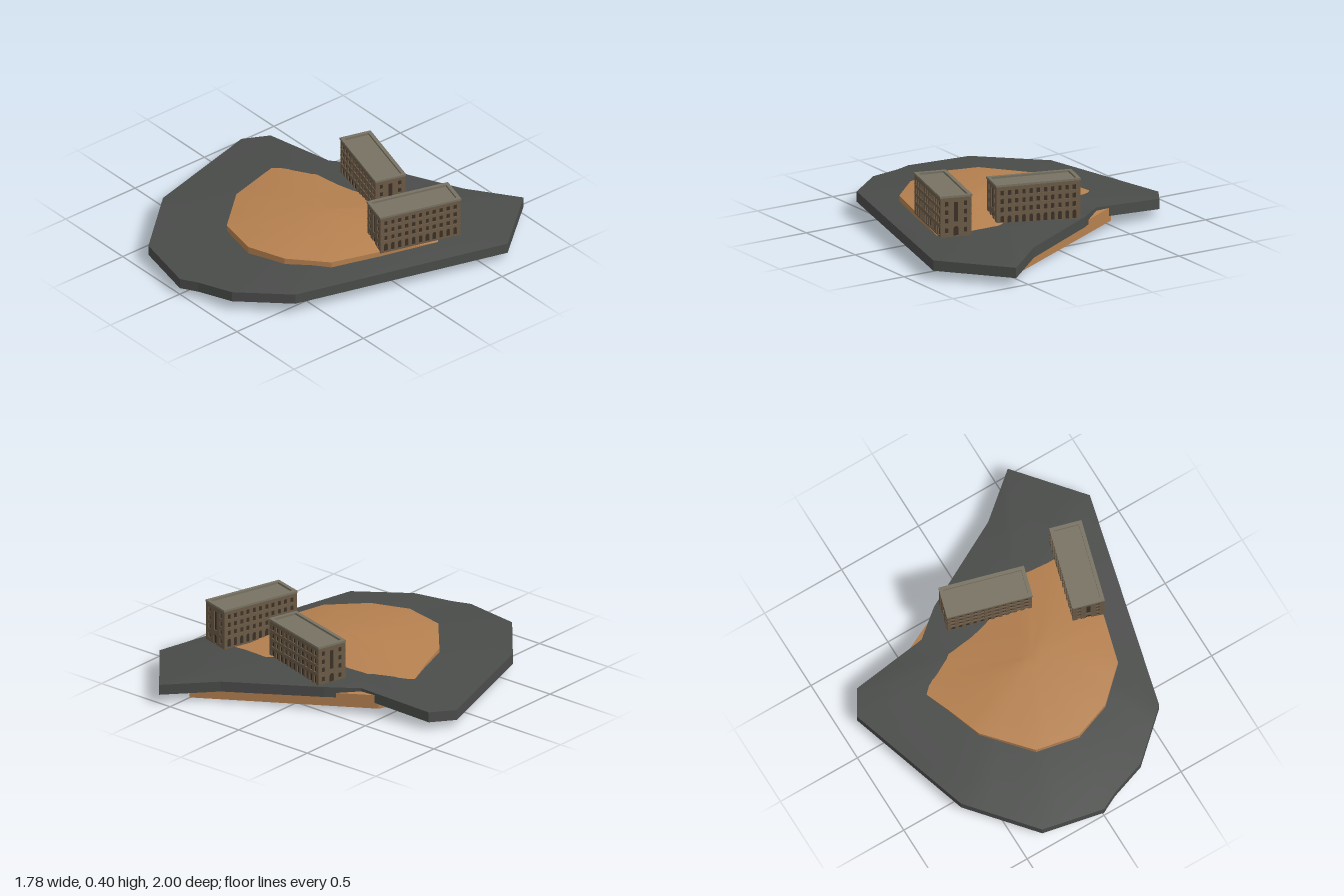
import * as THREE from 'three';

const mat = (color, side = THREE.FrontSide) => new THREE.MeshStandardMaterial({ color, side });

// Domed sheet over an outline of [x, z, rimHeight, falloff], with a vertical skirt around it
function domedSheet(name, outline, [cx, cz, peak], depth, color) {
  const rings = 8, steps = 3, rim = [];
  outline.forEach((a, i) => {
    const b = outline[(i + 1) % outline.length];
    for (let s = 0; s < steps; s++) rim.push(a.map((v, k) => v + (b[k] - v) * s / steps));
  });
  const n = rim.length, top = [cx, peak, cz], idx = [];
  for (let r = 1; r <= rings; r++) {
    const t = r / rings;
    for (const [x, z, y, p] of rim) {
      top.push(cx + (x - cx) * t, peak - (peak - y) * t ** p, cz + (z - cz) * t);
    }
  }
  for (let i = 0; i < n; i++) {
    const j = (i + 1) % n;
    idx.push(0, 1 + j, 1 + i);
    for (let r = 0; r < rings - 1; r++) {
      const a = 1 + r * n + i, b = 1 + r * n + j;
      idx.push(a, b, b + n, a, b + n, a + n);
    }
  }
  const skirt = [];
  rim.forEach(([ax, az, ay], i) => {
    const [bx, bz, by] = rim[(i + 1) % n];
    skirt.push(bx, by, bz, bx, by - depth, bz, ax, ay - depth, az);
    skirt.push(bx, by, bz, ax, ay - depth, az, ax, ay, az);
  });
  const group = new THREE.Group();
  group.name = name;
  const add = (part, pos, index) => {
    const g = new THREE.BufferGeometry();
    g.setAttribute('position', new THREE.Float32BufferAttribute(pos, 3));
    if (index) g.setIndex(index);
    g.computeVertexNormals();
    const m = new THREE.Mesh(g, mat(color, THREE.DoubleSide));
    m.name = part;
    group.add(m);
  };
  add(name + 'Top', top, idx);
  add(name + 'Skirt', skirt);
  return group;
}

const L = 0.488, W = 0.181, H = 0.237, D = 0.006;
const wallColor = 0x6b5a46, roofColor = 0x777262, windowColor = 0x3a3026;

function rect(x0, y0, x1, y1, Type = THREE.Shape) {
  const s = new Type();
  s.moveTo(x0, y0); s.lineTo(x1, y0); s.lineTo(x1, y1); s.lineTo(x0, y1); s.closePath();
  return s;
}

// Opening with a round head
function arch(x, y0, w, h) {
  const p = new THREE.Path(), r = w / 2;
  p.moveTo(x - r, y0); p.lineTo(x + r, y0); p.lineTo(x + r, y0 + h - r);
  p.absarc(x, y0 + h - r, r, 0, Math.PI, false);
  p.closePath();
  return p;
}

// Pierced wall panel, centred on x, standing on y = 0, facing +z
function facade(width, holes) {
  const s = rect(-width / 2, 0, width / 2, H);
  s.holes.push(...holes);
  return new THREE.ExtrudeGeometry(s, { depth: D, bevelEnabled: false, curveSegments: 5 });
}

function building(name) {
  const g = new THREE.Group();
  g.name = name;
  const add = (part, geo, color, x = 0, y = 0, z = 0, ry = 0) => {
    const m = new THREE.Mesh(geo, mat(color));
    m.name = part;
    m.position.set(x, y, z);
    m.rotation.y = ry;
    g.add(m);
    return m;
  };
  const floors = [0.078, 0.127, 0.176];
  const windowAt = (x, y) => rect(x - 0.010, y, x + 0.010, y + 0.029, THREE.Path);

  // Long sides: arched ground floor and three window rows
  const longHoles = [], cols = 11;
  for (let c = 0; c < cols; c++) {
    const x = (c - (cols - 1) / 2) * 0.042;
    longHoles.push(arch(x, 0.008, 0.022, 0.05));
    for (const y of floors) longHoles.push(windowAt(x, y));
  }
  // Ends: a window column either side of a tall stair window
  const endHoles = [rect(-0.012, 0.085, 0.012, 0.2, THREE.Path), arch(0, 0.005, 0.03, 0.055)];
  for (const x of [-0.055, 0.055]) {
    for (const y of [0.022, ...floors]) endHoles.push(windowAt(x, y));
  }
  const longGeo = facade(L, longHoles), endGeo = facade(W - 2 * D, endHoles);
  for (const s of [1, -1]) {
    const turn = s > 0 ? 0 : Math.PI;
    add('longWall', longGeo, wallColor, 0, 0, s * (W / 2 - D), turn);
    add('endWall', endGeo, wallColor, s * (L / 2 - D), 0, 0, turn + Math.PI / 2);
    // Sills under every window row
    for (const y of floors) {
      add('sillBand', new THREE.BoxGeometry(L, 0.003, 0.003), wallColor, 0, y - 0.002, s * (W / 2 + 0.001));
    }
  }
  // Dark glazing behind the openings
  add('glazing', new THREE.BoxGeometry(L - 2 * D, H - 0.02, W - 2 * D), windowColor, 0, (H - 0.02) / 2, 0);

  // Sunken roof inside a parapet
  add('roof', new THREE.BoxGeometry(L - 0.012, 0.008, W - 0.012), roofColor, 0, H - 0.014, 0);
  const e = 0.003, b = 0.018;
  const frame = rect(-L / 2 - e, -W / 2 - e, L / 2 + e, W / 2 + e);
  frame.holes.push(rect(-L / 2 + b, -W / 2 + b, L / 2 - b, W / 2 - b, THREE.Path));
  const parapet = add('parapet', new THREE.ExtrudeGeometry(frame, { depth: 0.012, bevelEnabled: false }), roofColor, 0, H - 0.01, 0);
  parapet.rotation.x = -Math.PI / 2;
  return g;
}

export function createModel() {
  const model = new THREE.Group();
  model.name = 'buildingsOnHill';

  const ground = [
    [0.58, -1, 0.11], [0.89, -0.63, 0.11], [0.575, 0.64, 0.135], [0.31, 0.88, 0.118],
    [0.1, 0.95, 0.106], [0, 1, 0.1], [-0.36, 0.93, 0.113], [-0.67, 0.57, 0.128],
    [-0.895, -0.18, 0.1], [-0.81, -0.32, 0.108], [-0.36, -0.37, 0.145],
    [-0.2, -0.5, 0.15], [0.32, -0.78, 0.13],
  ].map((p) => [...p, 2.3]);
  model.add(domedSheet('ground', ground, [0.1, -0.1, 0.166], 0.06, 0x4a4c4a));

  const earth = [
    [0.5, -0.83, 0.08, 1.3], [0.73, -0.59, 0.11, 1.3], [0.58, 0.03, 0.172, 2],
    [0.5, 0.32, 0.18, 2], [0.31, 0.5, 0.185, 2], [0.09, 0.58, 0.185, 2],
    [-0.16, 0.53, 0.183, 2], [-0.38, 0.28, 0.178, 1.8], [-0.45, 0.07, 0.162, 1.5],
    [-0.55, -0.2, 0.13, 1.1], [-0.47, -0.35, 0.125, 1],
  ];
  model.add(domedSheet('earthMound', earth, [0.1, 0.05, 0.22], 0.08, 0xb5804f));

  // Two matching blocks set at right angles
  const back = building('backBuilding');
  back.position.set(0.046, 0.145, -0.354);
  back.rotation.y = -0.275;
  const side = building('sideBuilding');
  side.position.set(0.5625, 0.163, -0.225);
  side.rotation.y = -0.275 - Math.PI / 2;
  model.add(back, side);
  return model;
}
